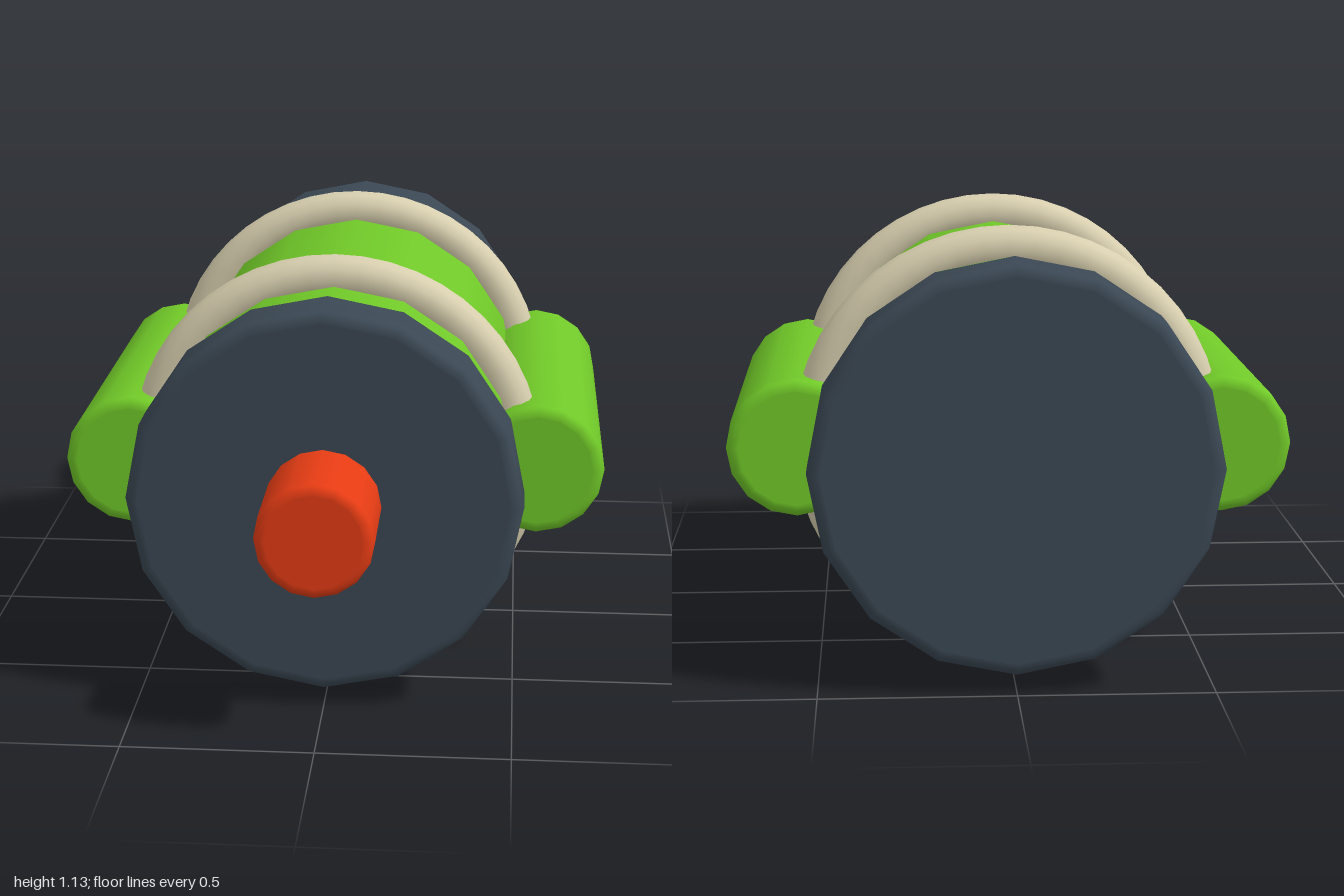
import * as THREE from 'three';

const AXIS_Y = 0.572;
const SIDES = 16;

const mat = (color) => new THREE.MeshStandardMaterial({ color });

// Closed cylinder along z with rounded rims
function roundedCylinder(radius, z0, z1, bevel) {
  const rim = radius - bevel;
  const inset = 0.004;
  const pts = [new THREE.Vector2(0, z0), new THREE.Vector2(rim - inset, z0)];
  const steps = 4;
  for (let i = 0; i <= steps; i++) {
    const a = (i / steps) * Math.PI / 2;
    pts.push(new THREE.Vector2(rim + bevel * Math.sin(a), z0 + bevel - bevel * Math.cos(a)));
  }
  pts.push(new THREE.Vector2(radius, z0 + bevel + inset));
  // Mirror the lower half to get the upper half
  const mid = z0 + z1;
  for (const p of pts.slice().reverse()) pts.push(new THREE.Vector2(p.x, mid - p.y));
  const geo = new THREE.LatheGeometry(pts, SIDES);
  geo.rotateX(Math.PI / 2);
  return geo;
}

export function createModel() {
  const group = new THREE.Group();
  group.name = 'canister';

  const green = mat(0x70c828);
  const slate = mat(0x3b4854);
  const red = mat(0xe63c14);
  const cream = mat(0xd8cfaf);

  const add = (name, geo, material, x = 0, z = 0) => {
    const mesh = new THREE.Mesh(geo, material);
    mesh.name = name;
    mesh.position.set(x, AXIS_Y, z);
    group.add(mesh);
  };

  // Main barrel, running slightly into both caps
  add('body', roundedCylinder(0.49, -0.86, 0.58, 0.02), green);

  // End caps
  add('frontCap', roundedCylinder(0.52, 0.54, 0.72, 0.03), slate);
  add('backCap', roundedCylinder(0.52, -1, -0.82, 0.03), slate);

  // Plunger at the front
  add('plunger', roundedCylinder(0.152, 0.68, 1, 0.025), red);

  // Bands around the barrel
  add('frontBand', new THREE.TorusGeometry(0.507, 0.06, 12, 48), cream, 0, 0.29);
  add('backBand', new THREE.TorusGeometry(0.507, 0.06, 12, 48), cream, 0, -0.57);

  // Side tubes
  for (const [name, side] of [['leftTube', 1], ['rightTube', -1]]) {
    add(name, roundedCylinder(0.182, -0.675, 0.395, 0.028), green, side * 0.555);
  }

  return group;
}
